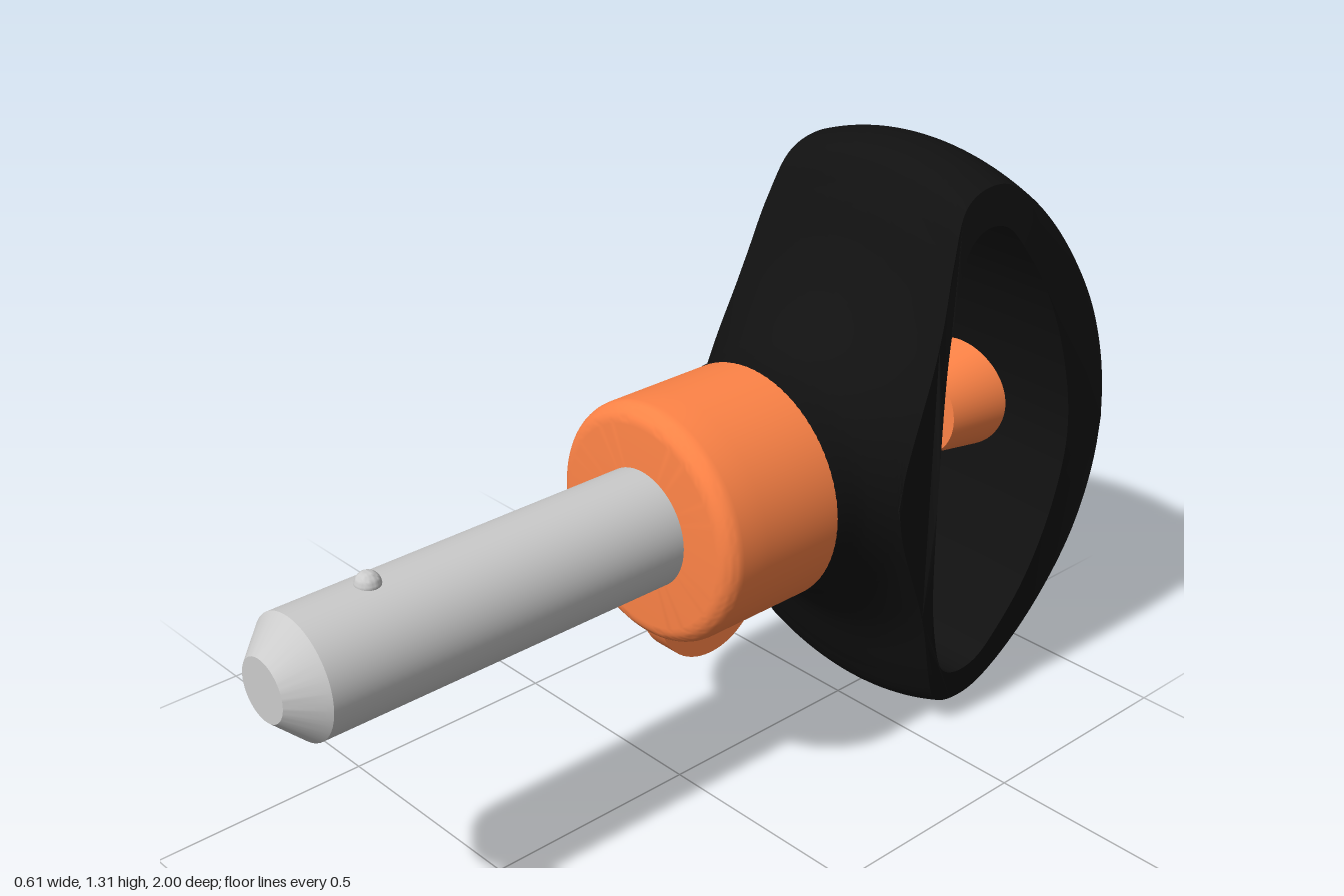
import * as THREE from 'three';
import { mergeGeometries, toCreasedNormals } from 'three/addons/utils/BufferGeometryUtils.js';

const AXIS_Y = 0.655;
const V = (x, y) => new THREE.Vector2(x, y);
const steel = new THREE.MeshStandardMaterial({ color: 0xcccccc });
const orange = new THREE.MeshStandardMaterial({ color: 0xff8447 });
const black = new THREE.MeshStandardMaterial({ color: 0x111111 });

// Turned part along z; profile is [radius, z] with z ascending
function turned(profile, segments = 64) {
  const geo = new THREE.LatheGeometry(profile.map(([r, z]) => V(r, z)), segments);
  return geo.rotateX(Math.PI / 2);
}

// Surface patch from a rule (u, v in 0..1), facing du x dv
function patch(nu, nv, rule) {
  const pos = [], index = [];
  for (let j = 0; j <= nv; j++)
    for (let i = 0; i <= nu; i++) {
      pos.push(...rule(i / nu, j / nv));
      if (i < nu && j < nv) {
        const a = j * (nu + 1) + i, c = a + nu + 1;
        index.push(a, a + 1, c, a + 1, c + 1, c);
      }
    }
  const geo = new THREE.BufferGeometry();
  geo.setAttribute('position', new THREE.Float32BufferAttribute(pos, 3));
  geo.setIndex(index);
  return geo;
}

// Handle: a turned body trimmed by two bowed side faces, with a finger opening across it
function handleGeometry() {
  const N = 140;
  const HALF = 0.305;
  const sideX = (y) => HALF - 0.06 * (y / 0.6) ** 2;
  const outer = new THREE.SplineCurve([
    [-1, 0.29], [-0.93, 0.418], [-0.822, 0.55], [-0.715, 0.635], [-0.63, 0.655], [-0.548, 0.63],
    [-0.5, 0.55], [-0.458, 0.455], [-0.415, 0.385], [-0.35, 0.317], [-0.27, 0.272], [-0.195, 0.259],
  ].map(([z, r]) => V(z, r))).getPoints(N);

  // Height at which a ring of radius r meets the side face
  const edgeY = (r) => {
    if (r <= HALF) return 0;
    let y = r;
    for (let k = 0; k < 30; k++) y = Math.sqrt(Math.max(0, r * r - sideX(y) ** 2));
    return y;
  };

  // Upper and lower outer skins
  const skins = [0, Math.PI].map((turn) => patch(40, N, (u, v) => {
    const { x: z, y: r } = outer[Math.round(v * N)];
    const y = edgeY(r), start = Math.atan2(y, sideX(y));
    const a = turn + start + u * (Math.PI - 2 * start);
    return [r * Math.cos(a), r * Math.sin(a), z];
  }));

  // Finger opening outline in (z, y)
  const half = [[-0.85, 0.17], [-0.79, 0.345], [-0.72, 0.46], [-0.675, 0.512], [-0.63, 0.527],
    [-0.585, 0.52], [-0.545, 0.49], [-0.5, 0.39], [-0.466, 0.25]];
  const loop = [[-0.875, 0], ...half, [-0.45, 0], ...half.map(([z, y]) => [z, -y]).reverse()];
  const ring = new THREE.CatmullRomCurve3(loop.map(([z, y]) => new THREE.Vector3(z, y, 0)), true)
    .getPoints(120);
  const tunnel = patch(4, 120, (u, v) => {
    const p = ring[Math.round(v * 120)];
    return [(2 * u - 1) * sideX(p.y), p.y, p.x];
  });

  // Side faces
  const isWide = (p) => p !== undefined && p.y > HALF;
  const top = outer.filter((p, i) => isWide(p) || isWide(outer[i - 1]) || isWide(outer[i + 1]))
    .map((p) => V(p.x, edgeY(p.y)));
  const outline = new THREE.Shape([...top, ...top.slice(1, -1).reverse().map((p) => V(p.x, -p.y))]);
  outline.holes.push(new THREE.Path(ring.slice(0, -1).map((p) => V(p.x, p.y))));
  const right = new THREE.ShapeGeometry(outline);
  right.deleteAttribute('uv');
  right.deleteAttribute('normal');
  const pos = right.attributes.position;
  for (let i = 0; i < pos.count; i++) {
    const z = pos.getX(i), y = pos.getY(i);
    pos.setXYZ(i, -sideX(y), y, z);
  }
  const left = right.clone().rotateZ(Math.PI);
  return mergeGeometries([...skins, tunnel, right, left]);
}

// Collar with a rounded front rim and a cross groove that continues the tab's hole
const HOLE = { z: -0.05, y: -0.255, r: 0.05 };
function collarGeometry() {
  const profile = [[0, -0.2], [0.259, -0.2]];
  for (let i = 0; i <= 24; i++)
    profile.push([0.259, HOLE.z - HOLE.r * Math.cos((i / 24) * Math.PI)]);
  for (let i = 0; i <= 8; i++) {
    const a = (i / 8) * Math.PI / 2;
    profile.push([0.219 + 0.04 * Math.cos(a), 0.065 + 0.04 * Math.sin(a)]);
  }
  profile.push([0, 0.105]);
  const geo = turned(profile, 128);
  const pos = geo.attributes.position;
  for (let i = 0; i < pos.count; i++) {
    const dz = pos.getZ(i) - HOLE.z;
    if (Math.abs(dz) < HOLE.r && pos.getY(i) < 0)
      pos.setY(i, Math.max(pos.getY(i), HOLE.y + Math.sqrt(HOLE.r ** 2 - dz * dz)));
  }
  return geo;
}

// Round lanyard tab with a hole, standing in the yz plane
function tabGeometry() {
  const shape = new THREE.Shape().absarc(0.063, -0.21, 0.143, 0, Math.PI * 2);
  shape.holes.push(new THREE.Path().absarc(-HOLE.z, HOLE.y, HOLE.r, 0, Math.PI * 2, true));
  const geo = new THREE.ExtrudeGeometry(shape, { depth: 0.058, bevelEnabled: false, curveSegments: 32 });
  return geo.translate(0, 0, -0.029).rotateY(Math.PI / 2);
}

export function createModel() {
  const model = new THREE.Group();
  model.name = 'quickReleasePin';
  const add = (name, geo, material) => {
    const mesh = new THREE.Mesh(toCreasedNormals(geo, 0.5), material);
    mesh.name = name;
    mesh.position.y = AXIS_Y;
    model.add(mesh);
    return mesh;
  };

  // Pin and locking balls
  add('shaft', turned([[0, 0], [0.127, 0], [0.127, 0.935], [0.065, 1], [0, 1]]), steel);
  for (const side of [1, -1])
    add(side > 0 ? 'upperBall' : 'lowerBall',
      new THREE.SphereGeometry(0.026, 24, 16).translate(0, side * 0.126, 0.763), steel);

  // Collar and lanyard tab
  add('collar', collarGeometry(), orange);
  add('lanyardTab', tabGeometry(), orange);

  // Handle and its end cap
  add('handle', handleGeometry(), black);
  add('endCap', new THREE.CircleGeometry(0.289, 64).rotateY(Math.PI).translate(0, 0, -1), orange);

  // Push button inside the handle
  add('buttonRod', turned([[0, -0.75], [0.075, -0.75], [0.075, -0.48], [0, -0.48]]), steel);
  add('buttonCone', turned([[0, -0.9], [0.133, -0.9], [0.107, -0.725], [0, -0.725]]), orange);
  add('washer', turned([[0, -0.51], [0.13, -0.51], [0.13, -0.43], [0, -0.43]]), orange);
  return model;
}
